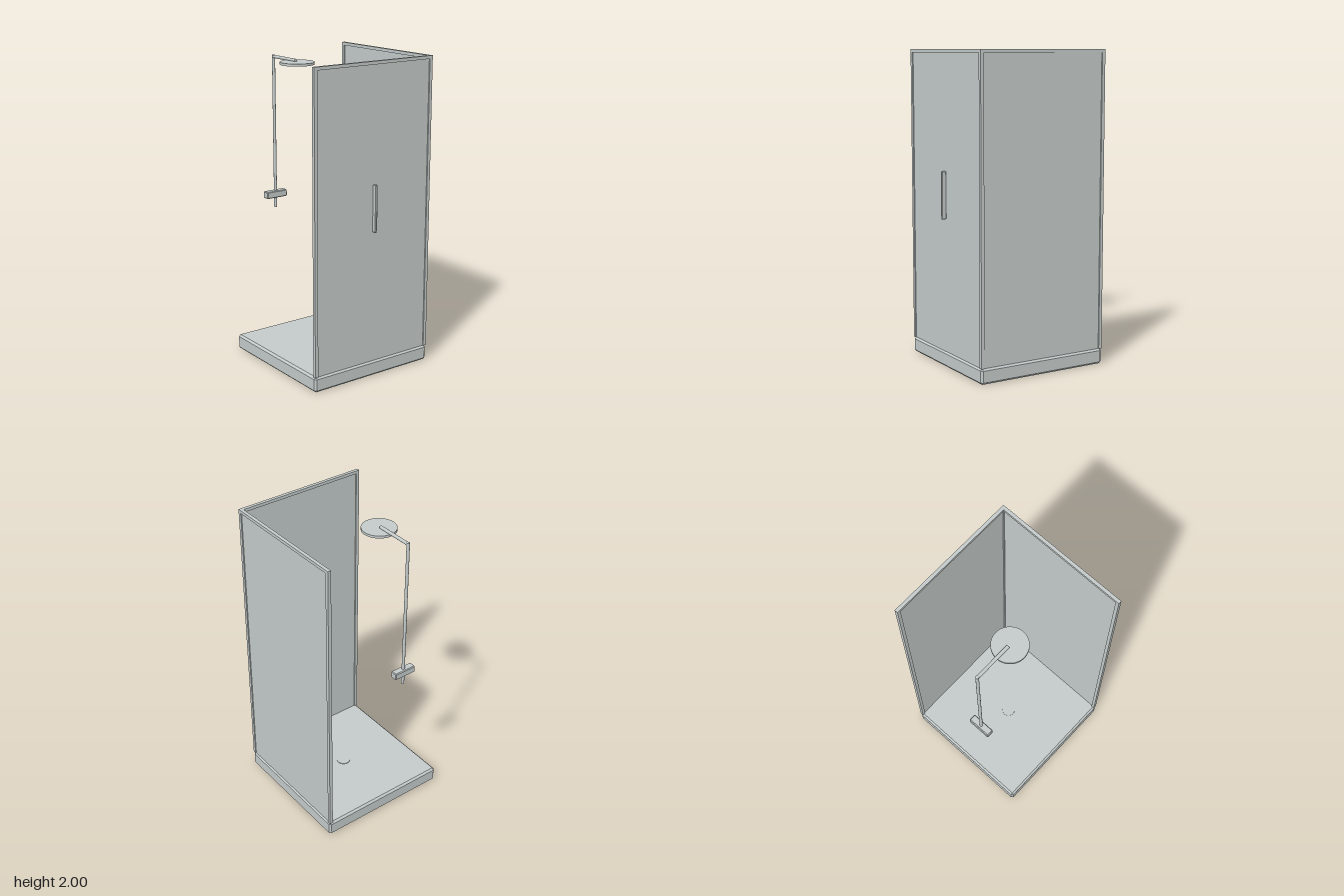
import * as THREE from 'three';
import { ConvexGeometry } from 'three/addons/geometries/ConvexGeometry.js';

const BACK = -0.458, FRONT = 0.436, SIDE = 0.447;   // footprint of the shower
const FLOOR = 0.1, TOP = 2, BAR = 0.022;

// Box with every edge cut by a flat chamfer
function chamferBox(w, h, d, c) {
  const half = [w / 2, h / 2, d / 2];
  const points = [];
  for (const sx of [-1, 1]) for (const sy of [-1, 1]) for (const sz of [-1, 1]) {
    for (let outer = 0; outer < 3; outer++) {
      const p = half.map((v, i) => (i === outer ? v : v - c));
      points.push(new THREE.Vector3(p[0] * sx, p[1] * sy, p[2] * sz));
    }
  }
  return new ConvexGeometry(points);
}

export function createModel() {
  const model = new THREE.Group();
  model.name = 'showerCabin';
  const grey = new THREE.MeshStandardMaterial({ color: 0xc3cac9 });
  grey.name = 'paleGrey';

  const add = (parent, name, geometry, x, y, z) => {
    const mesh = new THREE.Mesh(geometry, grey);
    mesh.name = name;
    mesh.position.set(x, y, z);
    parent.add(mesh);
    return mesh;
  };

  // Tray and drain
  const midZ = (BACK + FRONT) / 2;
  add(model, 'tray', chamferBox(SIDE * 2, FLOOR, FRONT - BACK, 0.013), 0, FLOOR / 2, midZ);
  add(model, 'drain', new THREE.CylinderGeometry(0.045, 0.045, 0.006, 32), 0, FLOOR + 0.001, midZ);

  // Glass pane with two uprights and a top rail, facing +z
  const panel = (name, width) => {
    const group = new THREE.Group();
    group.name = name;
    const height = TOP - FLOOR, midY = (TOP + FLOOR) / 2;
    add(group, 'glass', new THREE.BoxGeometry(width - BAR, height - BAR / 2, 0.008), 0, midY - BAR / 4, 0);
    for (const s of [-1, 1]) {
      add(group, 'upright', new THREE.BoxGeometry(BAR, height, BAR), s * (width - BAR) / 2, midY, 0);
    }
    add(group, 'topRail', new THREE.BoxGeometry(width, 0.02, BAR), 0, TOP - 0.01, 0);
    model.add(group);
    return group;
  };
  const door = panel('frontDoor', SIDE * 2 - 0.002);
  door.position.z = FRONT - BAR / 2 - 0.001;
  const sidePanel = panel('leftPanel', FRONT - BACK - 0.002);
  sidePanel.rotation.y = Math.PI / 2;
  sidePanel.position.set(SIDE - BAR / 2 - 0.001, 0, midZ);

  // Door handle
  add(model, 'handle', chamferBox(0.016, 0.3, 0.03, 0.003), 0, 1.103, 0.443);

  // Shower column: riser, arm, head and mixer valve
  const shower = new THREE.Group();
  shower.name = 'shower';
  shower.position.set(-0.15, 0, -0.426);
  model.add(shower);
  add(shower, 'riser', new THREE.CylinderGeometry(0.01, 0.01, 1.01, 24), 0, 1.455, 0);
  const arm = add(shower, 'arm', new THREE.CylinderGeometry(0.0105, 0.0105, 0.25, 24), 0, 1.95, 0.125);
  arm.rotation.x = Math.PI / 2;
  add(shower, 'showerHead', new THREE.CylinderGeometry(0.109, 0.109, 0.016, 48), 0, 1.936, 0.266);
  add(shower, 'mixerValve', chamferBox(0.155, 0.046, 0.048, 0.005), 0, 1.04, 0);

  return model;
}
